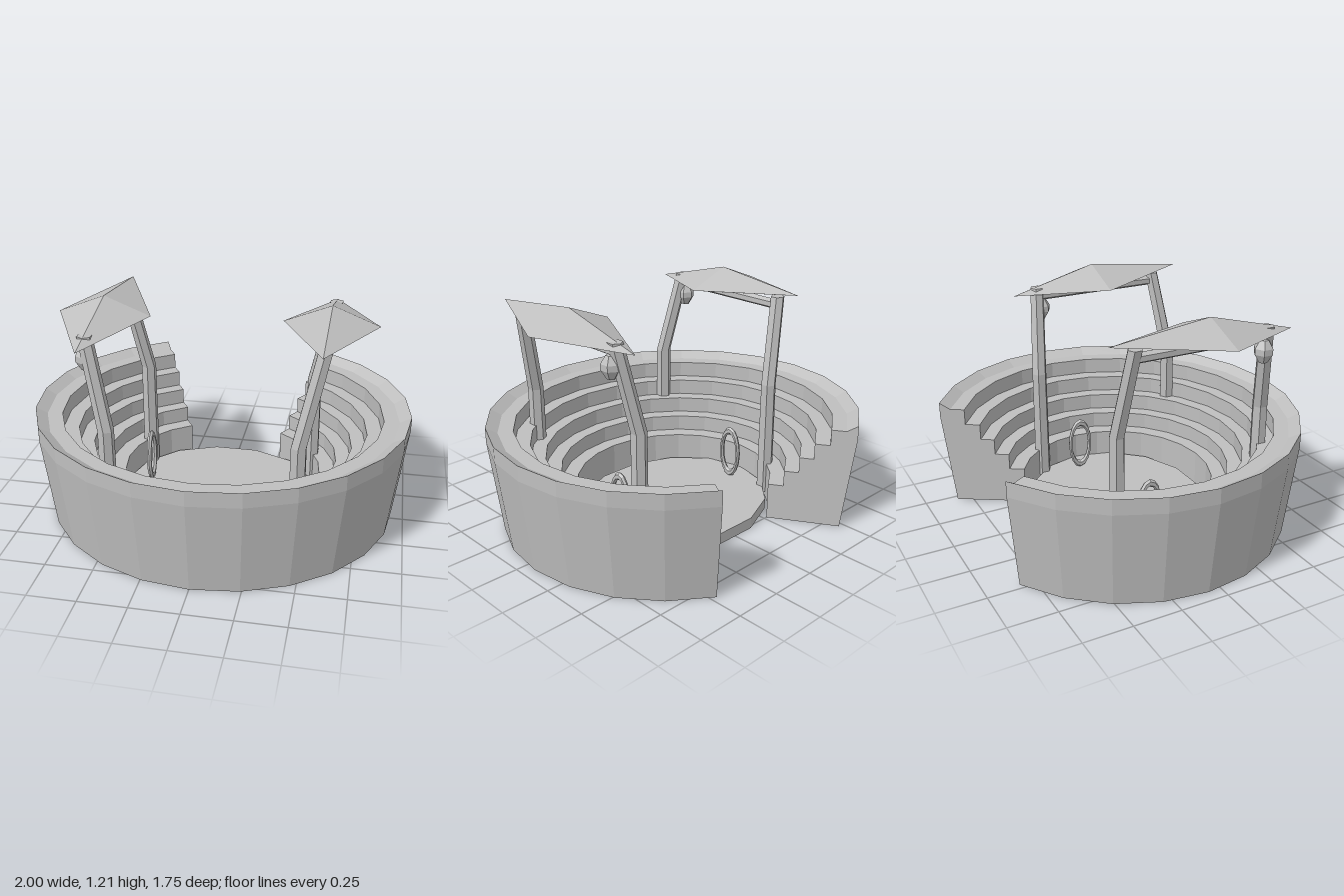
import * as THREE from 'three';

const CZ = -0.066;        // centre of the arena in z
const SQUASH = 0.938;     // the bowl is slightly shorter in z
const END = THREE.MathUtils.degToRad(150);

export function createModel() {
  const model = new THREE.Group();
  // Double-sided because the floor is an open shell
  const stone = new THREE.MeshStandardMaterial({ color: 0xbfbfbf, flatShading: true, side: THREE.DoubleSide });

  const add = (name, geometry, parent = model) => {
    const mesh = new THREE.Mesh(geometry, stone);
    mesh.name = name;
    parent.add(mesh);
    return mesh;
  };

  // Stepped bowl: outer wall, gently sloped rim, then five tiers going down
  const profile = [[0.535, 0], [0.938, 0], [1, 0.5], [1, 0.58]];
  const radii = [0.94, 0.86, 0.777, 0.7, 0.62, 0.535];
  for (let i = 0; i < 5; i++) {
    const y = 0.545 - i * 0.0865;
    profile.push([radii[i], y], [radii[i + 1], y]);
  }
  const points = profile.map(([r, y]) => new THREE.Vector2(r, y));
  const bowl = new THREE.Group();
  bowl.name = 'seatingBowl';
  bowl.position.z = CZ;
  bowl.scale.z = SQUASH;
  model.add(bowl);
  add('tiers', new THREE.LatheGeometry([...points, points[0]], 20, -END, 2 * END), bowl);

  // Cut faces either side of the entrance
  for (const s of [-1, 1]) {
    const cap = new THREE.ShapeGeometry(new THREE.Shape(points));
    cap.rotateY(s * END - Math.PI / 2);
    if (s > 0) {
      cap.index.array.reverse();
      cap.computeVertexNormals();
    }
    add('entranceWall', cap, bowl);
  }

  // Arena floor: a disc with a skirt, open underneath
  const floor = new THREE.Group();
  floor.name = 'arenaFloor';
  floor.position.z = CZ;
  floor.scale.set(0.54, 1, 0.464);
  model.add(floor);
  const skirt = new THREE.CylinderGeometry(1, 1, 0.06, 14, 1, true);
  skirt.rotateY(Math.PI / 14);
  skirt.translate(0, 0.03, 0);
  add('floorSkirt', skirt, floor);
  const disc = new THREE.CircleGeometry(1, 14);
  disc.rotateX(-Math.PI / 2);
  disc.rotateY(Math.PI / 14 + Math.PI / 2);
  disc.translate(0, 0.06, 0);
  add('floorTop', disc, floor);

  for (const s of [-1, 1]) {
    // Upright hoop set into the floor
    const hoop = new THREE.TorusGeometry(1, 0.16, 6, 16);
    hoop.scale(0.06, 0.13, 0.09);
    hoop.rotateY(Math.PI / 2);
    hoop.translate(s * 0.413, 0.205, -0.095);
    add('hoop', hoop);

    // Bent pillars
    for (const [z0, z1] of [[0.512, 0.452], [-0.308, -0.263]]) {
      add('pillar', pillarGeometry([
        [s * 0.47, 0.03, z0], [s * 0.47, 0.66, z0], [s * 0.568, 1.12, z1]]));
    }

    // One lamp per side, on diagonally opposite pillars
    const lampProfile = [[0, 0.935], [0.022, 0.94], [0.05, 0.985], [0.05, 1.015], [0.025, 1.055], [0, 1.06]];
    const lamp = new THREE.LatheGeometry(lampProfile.map(p => new THREE.Vector2(...p)), 6);
    lamp.translate(s * 0.575, 0, s > 0 ? -0.24 : 0.435);
    add('lamp', lamp);

    // Beam joining the pillar tops
    const beam = new THREE.CylinderGeometry(0.027, 0.027, 0.72, 6);
    beam.rotateX(Math.PI / 2);
    beam.translate(s * 0.565, 1.075, 0.095);
    add('beam', beam);

    add('canopy', canopyGeometry(s));
  }
  return model;
}

// Six-sided column whose rings follow three centres
function pillarGeometry(centres) {
  const geometry = new THREE.CylinderGeometry(0.038, 0.044, 2, 6, 2);
  const p = geometry.attributes.position;
  for (let i = 0; i < p.count; i++) {
    const [x, y, z] = centres[Math.round(p.getY(i)) + 1];
    p.setXYZ(i, x + p.getX(i), y, z + p.getZ(i));
  }
  geometry.computeVertexNormals();
  return geometry;
}

// Flattened, slightly tilted diamond roof
function canopyGeometry(s) {
  const geometry = new THREE.OctahedronGeometry(1);
  const p = geometry.attributes.position;
  for (let i = 0; i < p.count; i++) {
    const x = p.getX(i), y = p.getY(i), z = p.getZ(i);
    p.setXYZ(i,
      s * 0.567 + 0.237 * x,
      1.118 + y * (y > 0 ? 0.094 : 0.052) + 0.03 * s * z,
      0.1 + 0.5 * z - 0.03 * s * (1 - Math.abs(z)));
  }
  geometry.computeVertexNormals();
  return geometry;
}
